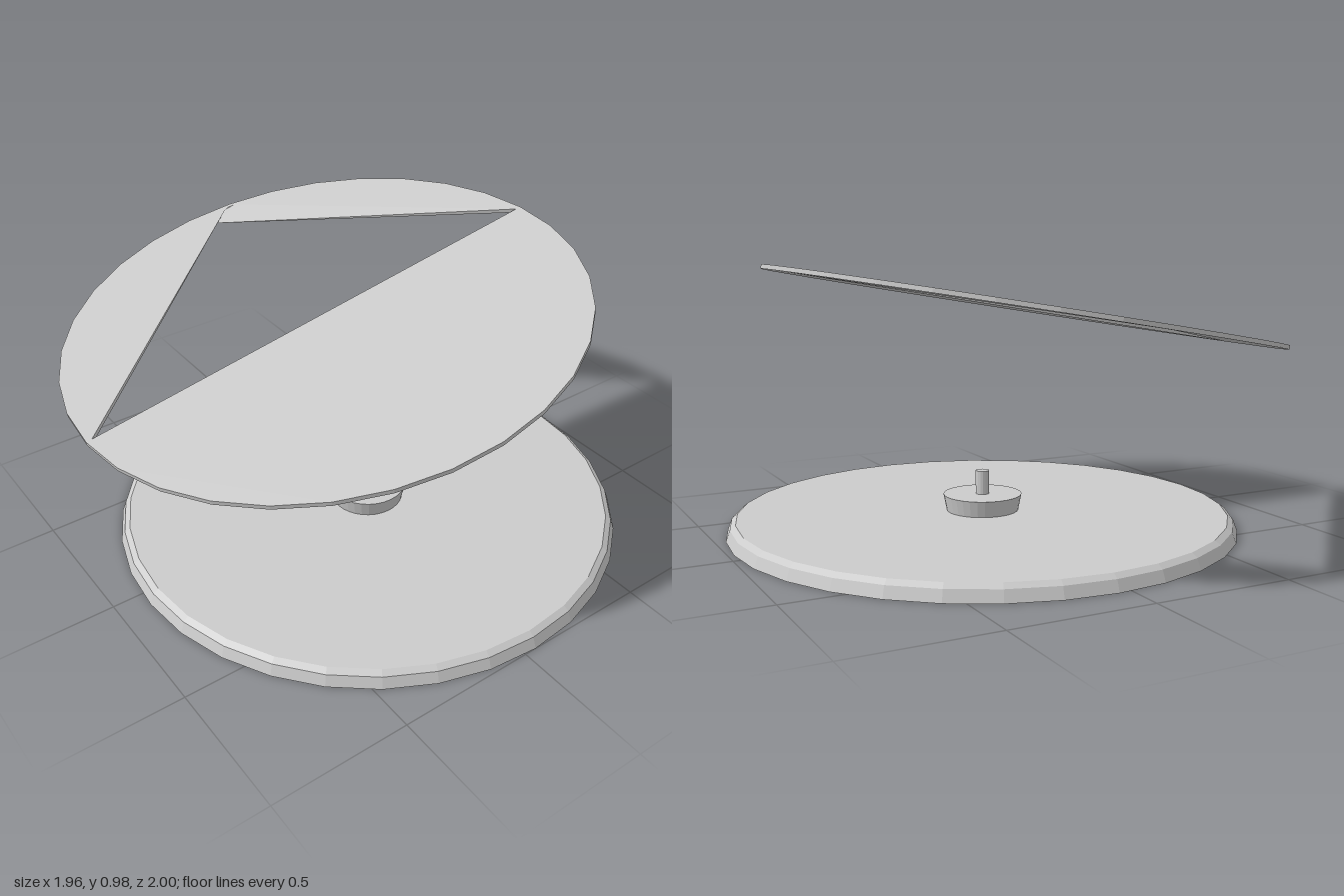
import * as THREE from 'three';
import { mergeGeometries } from 'three/addons/utils/BufferGeometryUtils.js';

const SIDES = 32;
const RADIUS = 0.935;
const LID_THICKNESS = 0.015;

const material = new THREE.MeshStandardMaterial({ color: 0xcccccc, flatShading: true });
const thinMaterial = new THREE.MeshStandardMaterial({ color: 0xcccccc, flatShading: true, side: THREE.DoubleSide });

function addMesh(parent, name, geometry, mat = material) {
  const mesh = new THREE.Mesh(geometry, mat);
  mesh.name = name;
  parent.add(mesh);
  return mesh;
}

// Triangular opening as [x, z] points; side +1 leans the rounded tip to +x, -1 to -x
function openingOutline(side) {
  const mid = 0.091;
  const tip = [[0.051, -0.89], [0.071, -0.9], [0.101, -0.898], [0.122, -0.875]]
    .map(([dx, z]) => [mid + side * dx, z]);
  if (side < 0) tip.reverse();
  return [[-0.914, 0], ...tip, [0.914, 0]];
}

// Flat disc face with the opening cut out, facing up or down
function lidFace(outline, y, up) {
  const s = up ? -1 : 1;
  const rim = [];
  for (let i = 0; i < SIDES; i++) {
    const a = (i / SIDES) * Math.PI * 2;
    rim.push(new THREE.Vector2(Math.cos(a) * RADIUS, Math.sin(a) * RADIUS));
  }
  const shape = new THREE.Shape(rim);
  shape.holes.push(new THREE.Path(outline.map(([x, z]) => new THREE.Vector2(x, s * z))));
  const g = new THREE.ShapeGeometry(shape);
  g.rotateX(s * Math.PI / 2);
  g.translate(0, y, 0);
  return g.toNonIndexed();
}

// Slanted walls joining the upper and lower outlines of the opening
function openingWalls(upper, lower, h) {
  const pos = [];
  upper.forEach((a, i) => {
    const j = (i + 1) % upper.length;
    const A = [a[0], h, a[1]], B = [upper[j][0], h, upper[j][1]];
    const C = [lower[j][0], -h, lower[j][1]], D = [lower[i][0], -h, lower[i][1]];
    pos.push(...A, ...D, ...B, ...B, ...D, ...C);
  });
  const g = new THREE.BufferGeometry();
  g.setAttribute('position', new THREE.Float32BufferAttribute(pos, 3));
  g.computeVertexNormals();
  return g;
}

export function createModel() {
  const model = new THREE.Group();
  model.name = 'turntable';

  // Base plate with a bevelled rim, centre knob and pin
  const base = new THREE.Group();
  base.name = 'base';
  base.position.set(0.045, 0, 0.065);
  model.add(base);
  const profile = [[0, 0], [RADIUS, 0], [0.92, 0.04], [0.9, 0.055], [0, 0.055]]
    .map(([r, y]) => new THREE.Vector2(r, y));
  addMesh(base, 'basePlate', new THREE.LatheGeometry(profile, SIDES));
  addMesh(base, 'knob', new THREE.CylinderGeometry(0.145, 0.133, 0.06, SIDES)).position.y = 0.085;
  addMesh(base, 'pin', new THREE.CylinderGeometry(0.025, 0.025, 0.09, 16)).position.y = 0.157;

  // Tilted thin disc with a triangular opening
  const lid = new THREE.Group();
  lid.name = 'lid';
  lid.position.set(-0.06, 0.81, -0.065);
  lid.rotation.z = THREE.MathUtils.degToRad(9.8);
  model.add(lid);
  const h = LID_THICKNESS / 2;
  const upper = openingOutline(1), lower = openingOutline(-1);
  const faces = mergeGeometries([lidFace(upper, h, true), lidFace(lower, -h, false)]);
  addMesh(lid, 'lidFaces', faces, thinMaterial);
  addMesh(lid, 'lidRim', new THREE.CylinderGeometry(RADIUS, RADIUS, LID_THICKNESS, SIDES, 1, true), thinMaterial);
  addMesh(lid, 'openingWalls', openingWalls(upper, lower, h), thinMaterial);

  return model;
}
